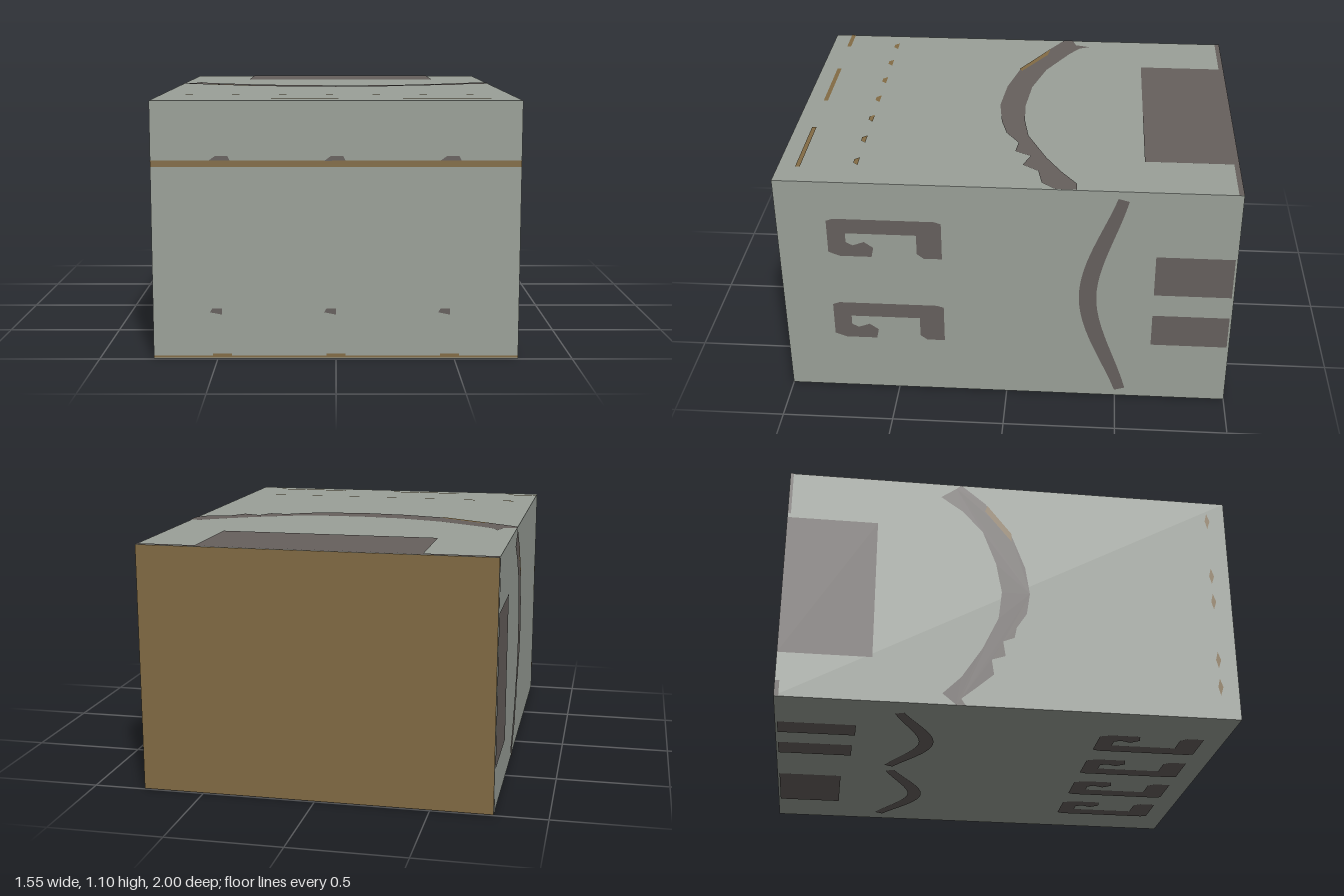
import * as THREE from 'three';

const W = 1.54, H = 1.09, D = 2, LIFT = 0.003;
const mat = (name, color) => Object.assign(new THREE.MeshStandardMaterial({ color }), { name });
const V = (x, y, z) => new THREE.Vector3(x, y, z);

// Each face: right-handed axes, offset from the origin, and signs turning
// plain model coordinates into face coordinates.
const FACES = {
  front: { u: V(1, 0, 0), v: V(0, 1, 0), at: D / 2, sign: [1, 1] },
  top: { u: V(1, 0, 0), v: V(0, 0, -1), at: H, sign: [1, -1] },
  bottom: { u: V(1, 0, 0), v: V(0, 0, 1), at: 0, sign: [1, 1] },
  right: { u: V(0, 0, 1), v: V(0, 1, 0), at: W / 2, sign: [1, 1] },
  left: { u: V(0, 0, -1), v: V(0, 1, 0), at: W / 2, sign: [-1, 1] },
};

const rect = (a0, b0, a1, b1) => [[a0, b0], [a1, b0], [a1, b1], [a0, b1]];

// Curved band through three points, tapering slightly at its ends
function arcBand(p0, p1, p2, width) {
  const curve = new THREE.CatmullRomCurve3([p0, p1, p2].map(p => V(p[0], p[1], 0)), false, 'chordal');
  const one = [], two = [];
  for (let i = 0; i <= 24; i++) {
    const t = i / 24, p = curve.getPoint(t), d = curve.getTangent(t);
    const h = width * (0.35 + 0.2 * Math.sin(Math.PI * t));
    one.push([p.x - d.y * h, p.y + d.x * h]);
    two.unshift([p.x + d.y * h, p.y - d.x * h]);
  }
  return one.concat(two);
}

// Hook mark in a unit square: long bar along the top, both ends turned down
const HOOK = [[0, 0], [0, 0.95], [0.06, 1], [0.94, 1], [1, 0.94], [1, 0.1], [0.9, 0],
  [0.62, 0], [0.6, 0.25], [0.68, 0.4], [0.78, 0.3], [0.84, 0.38], [0.84, 0.62],
  [0.22, 0.62], [0.22, 0.12], [0.16, 0]];

export function createModel() {
  const model = new THREE.Group();
  const grey = mat('greyGreen', 0x9aa098);
  const dark = mat('darkTaupe', 0x66605d);
  const brown = mat('ochreBrown', 0x826b44);

  // Block with a brown back
  const block = new THREE.Mesh(new THREE.BoxGeometry(W, H, D), [grey, grey, grey, grey, grey, brown]);
  block.name = 'block';
  block.position.y = H / 2;
  model.add(block);

  // Flat painted mark laid on one face
  function paint(name, faceName, material, points, lift = LIFT) {
    const { u, v, at, sign } = FACES[faceName];
    const n = u.clone().cross(v);
    const shape = new THREE.Shape(points.map(p => new THREE.Vector2(p[0] * sign[0], p[1] * sign[1])));
    const geometry = new THREE.ShapeGeometry(shape);
    geometry.applyMatrix4(new THREE.Matrix4().makeBasis(u, v, n).setPosition(n.clone().multiplyScalar(at + lift)));
    const mesh = new THREE.Mesh(geometry, material);
    mesh.name = name;
    model.add(mesh);
  }

  // Top: panel, rear edge strip and ragged arc
  paint('topPanel', 'top', dark, rect(-0.46, -0.99, 0.51, -0.59));
  paint('topRearStrip', 'top', dark, rect(-0.77, -1, 0.77, -0.977), LIFT / 2);
  paint('topArc', 'top', dark, [
    [-0.77, -0.2], [-0.64, -0.12], [-0.4, 0.01], [-0.2, 0.06], [0, 0.08], [0.17, 0.06], [0.28, 0.03],
    [0.37, -0.03], [0.45, -0.02], [0.49, -0.09], [0.57, -0.06], [0.62, -0.13], [0.72, -0.15], [0.77, -0.21],
    [0.77, -0.3], [0.72, -0.3], [0.62, -0.23], [0.5, -0.16], [0.3, -0.07], [0.15, -0.045], [0, -0.04],
    [-0.2, -0.06], [-0.4, -0.12], [-0.6, -0.23], [-0.67, -0.28], [-0.69, -0.33], [-0.71, -0.26], [-0.77, -0.24]]);
  paint('topArcEdge', 'top', brown, [[-0.65, -0.13], [-0.58, -0.12], [-0.38, 0], [-0.4, 0.015]], LIFT * 1.3);
  for (const [a, b] of [[-0.77, -0.62], [-0.35, 0.01], [0.28, 0.65]])
    paint('topFrontDash', 'top', brown, rect(a, 0.902, b, 0.922));
  for (let i = 0; i < 7; i++) {
    const x = -0.64 + i * 0.204;
    paint('topFleck', 'top', brown, [[x - 0.035, 0.655], [x + 0.035, 0.655], [x + 0.015, 0.677], [x - 0.015, 0.677]]);
  }

  // Right side: panel, rear strip and ragged arc
  paint('rightPanel', 'right', dark, rect(-1, 0.2, -0.6, 0.86));
  paint('rightRearStrip', 'right', dark, rect(-1, 0.88, -0.985, H));
  paint('rightRearStrip', 'right', dark, rect(-1, 0, -0.98, 0.07));
  paint('rightArc', 'right', dark, [
    [-0.23, 1.09], [-0.12, 1], [0, 0.84], [0.06, 0.68], [0.08, 0.55], [0.065, 0.45], [0.02, 0.38], [0.01, 0.33],
    [-0.04, 0.31], [-0.03, 0.24], [-0.09, 0.22], [-0.08, 0.15], [-0.16, 0.08], [-0.22, 0.03], [-0.2, 0],
    [-0.24, 0], [-0.3, 0.05], [-0.22, 0.13], [-0.13, 0.27], [-0.06, 0.42], [-0.045, 0.55], [-0.07, 0.69],
    [-0.13, 0.85], [-0.22, 0.95], [-0.32, 1.02], [-0.25, 1.07]]);
  paint('rightArcEdge', 'right', brown, [[0, 0.81], [0, 0.85], [-0.11, 0.99], [-0.12, 0.96]], LIFT * 1.3);
  for (const y of [0.15, 0.28, 0.57, 0.7, 0.99])
    paint('rightFleck', 'right', brown, [[0.905, y], [0.915, y - 0.04], [0.928, y], [0.915, y + 0.04]]);

  // Front: brown line with bumps, lower flecks and base line
  paint('frontLine', 'front', brown, rect(-0.77, 0.815, 0.77, 0.842));
  paint('frontBaseLine', 'front', brown, rect(-0.77, 0.005, 0.77, 0.014));
  for (const x of [-0.48, 0, 0.48]) {
    paint('frontBump', 'front', dark, [[x - 0.05, 0.84], [x + 0.04, 0.842], [x + 0.03, 0.862], [x - 0.02, 0.862]]);
    paint('frontFleck', 'front', dark, [[x - 0.05, 0.2], [x, 0.19], [x, 0.217], [x - 0.04, 0.217]]);
    paint('frontBaseFleck', 'front', brown, rect(x - 0.04, 0.012, x + 0.04, 0.022));
  }

  // Left side: two bars, slim arc and two hooks
  paint('leftUpperBar', 'left', dark, rect(-0.99, 0.57, -0.65, 0.77));
  paint('leftLowerBar', 'left', dark, rect(-0.99, 0.3, -0.65, 0.46));
  paint('leftArc', 'left', dark, arcBand([-0.5, 1.05], [-0.36, 0.55], [-0.52, 0.04], 0.07));
  for (const y of [0.28, 0.72])
    paint('leftHook', 'left', dark, HOOK.map(p => [0.28 + p[0] * 0.5, y + p[1] * 0.19]));

  // Underside: bars, panel, two arcs and four hooks
  paint('bottomBar', 'bottom', dark, rect(-0.5, -0.99, -0.38, -0.65));
  paint('bottomBar', 'bottom', dark, rect(-0.26, -0.99, -0.13, -0.66));
  paint('bottomPanel', 'bottom', dark, rect(0.15, -0.99, 0.52, -0.7));
  paint('bottomArc', 'bottom', dark, arcBand([-0.66, -0.47], [-0.32, -0.33], [-0.02, -0.48], 0.06));
  paint('bottomArc', 'bottom', dark, arcBand([0.04, -0.47], [0.38, -0.33], [0.68, -0.49], 0.06));
  for (let i = 0; i < 4; i++)
    paint('bottomHook', 'bottom', dark, HOOK.map(p => [-0.53 + i * 0.3 + p[1] * 0.19, 0.9 - p[0] * 0.47]));

  return model;
}
